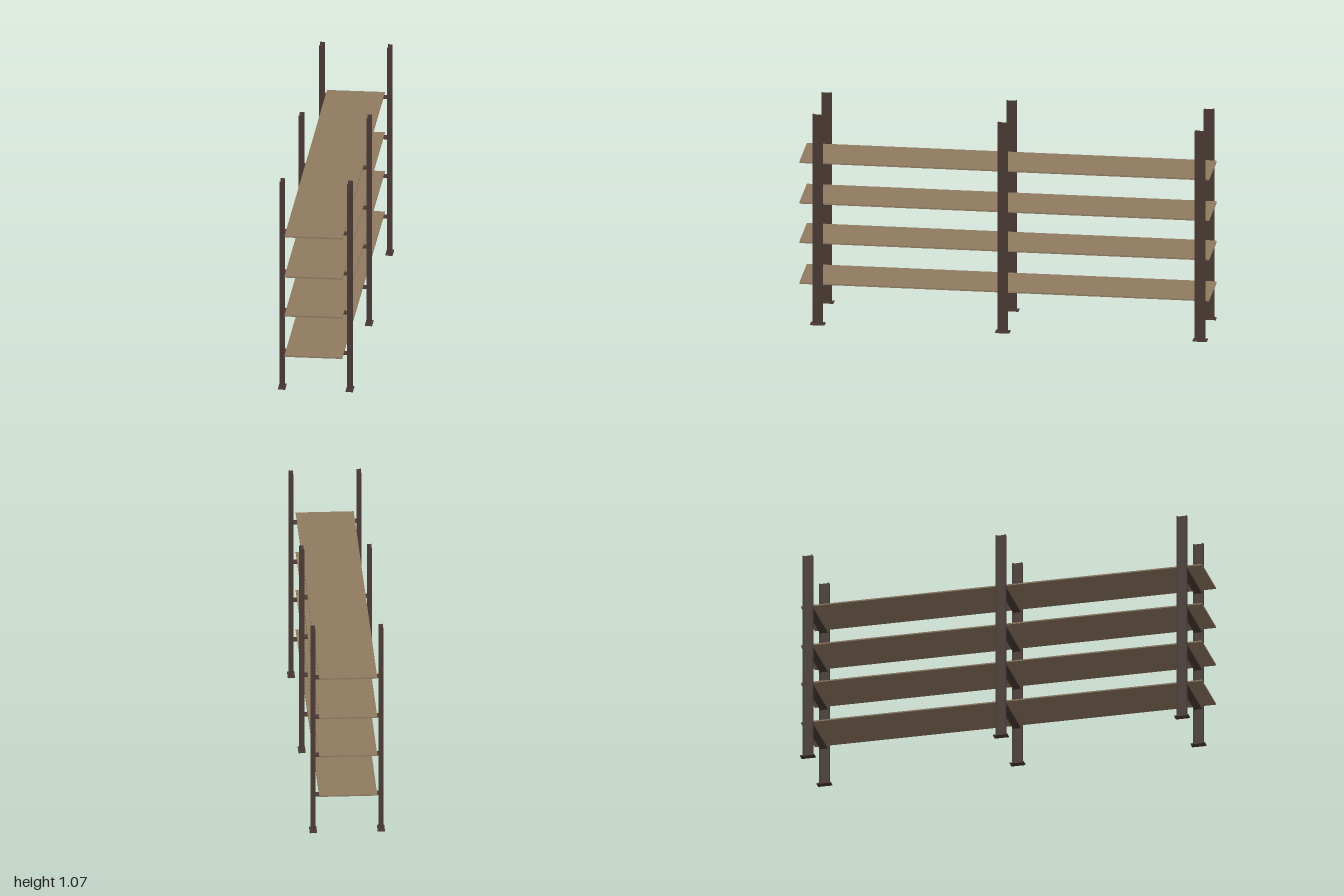
import * as THREE from 'three';

// I-profile: width w between the outer flange faces, flange depth d
function iProfile(w, d, flange, web) {
  const a = w / 2, b = d / 2, i = a - flange, t = web / 2;
  const pts = [
    [-a, -b], [-i, -b], [-i, -t], [i, -t], [i, -b], [a, -b],
    [a, b], [i, b], [i, t], [-i, t], [-i, b], [-a, b],
  ];
  return new THREE.Shape(pts.map(([x, y]) => new THREE.Vector2(x, y)));
}

const extrude = (shape, depth) =>
  new THREE.ExtrudeGeometry(shape, { depth, bevelEnabled: false });

export function createModel() {
  const model = new THREE.Group();
  model.name = 'shelvingRack';

  const steel = new THREE.MeshStandardMaterial({ color: 0x4b3b35 });
  steel.name = 'dark brown steel';
  const wood = new THREE.MeshStandardMaterial({ color: 0x8f7b60 });
  wood.name = 'tan board';

  const add = (name, geometry, material, x, y, z) => {
    const mesh = new THREE.Mesh(geometry, material);
    mesh.name = name;
    mesh.position.set(x, y, z);
    model.add(mesh);
  };

  const height = 1.072, footHeight = 0.006;
  const frames = [0.906, 0.003, -0.96];
  const postX = [-0.166, 0.163];
  const shelfTops = [0.2, 0.409, 0.61, 0.818];
  const shelfThick = 0.007, beamHeight = 0.007;

  // Upright posts: flanges face front and back, web runs along z
  const postGeo = extrude(iProfile(0.022, 0.05, 0.022 / 2 - 0.004, 0.04), height);
  postGeo.dispose();
  const post = extrude(iProfile(0.05, 0.022, 0.006, 0.008), height);
  post.rotateZ(Math.PI / 2);
  post.rotateX(-Math.PI / 2);
  const foot = new THREE.BoxGeometry(0.035, footHeight, 0.07);

  // Cross beams: low I-profile lying flat under the boards
  const beamLength = postX[1] - postX[0] - 0.016;
  const beam = extrude(iProfile(0.038, beamHeight, 0.005, 0.003), beamLength);
  beam.rotateY(Math.PI / 2);

  for (const z of frames) {
    for (const x of postX) {
      add('post', post, steel, x, 0, z);
      add('footPlate', foot, steel, x, footHeight / 2, z);
    }
    for (const top of shelfTops) {
      add('crossBeam', beam, steel, postX[0] + 0.008, top - shelfThick - beamHeight / 2, z);
    }
  }

  // Long shelf boards
  const board = new THREE.BoxGeometry(0.281, shelfThick, 2);
  for (const top of shelfTops) {
    add('shelfBoard', board, wood, -0.0055, top - shelfThick / 2, 0);
  }

  return model;
}
